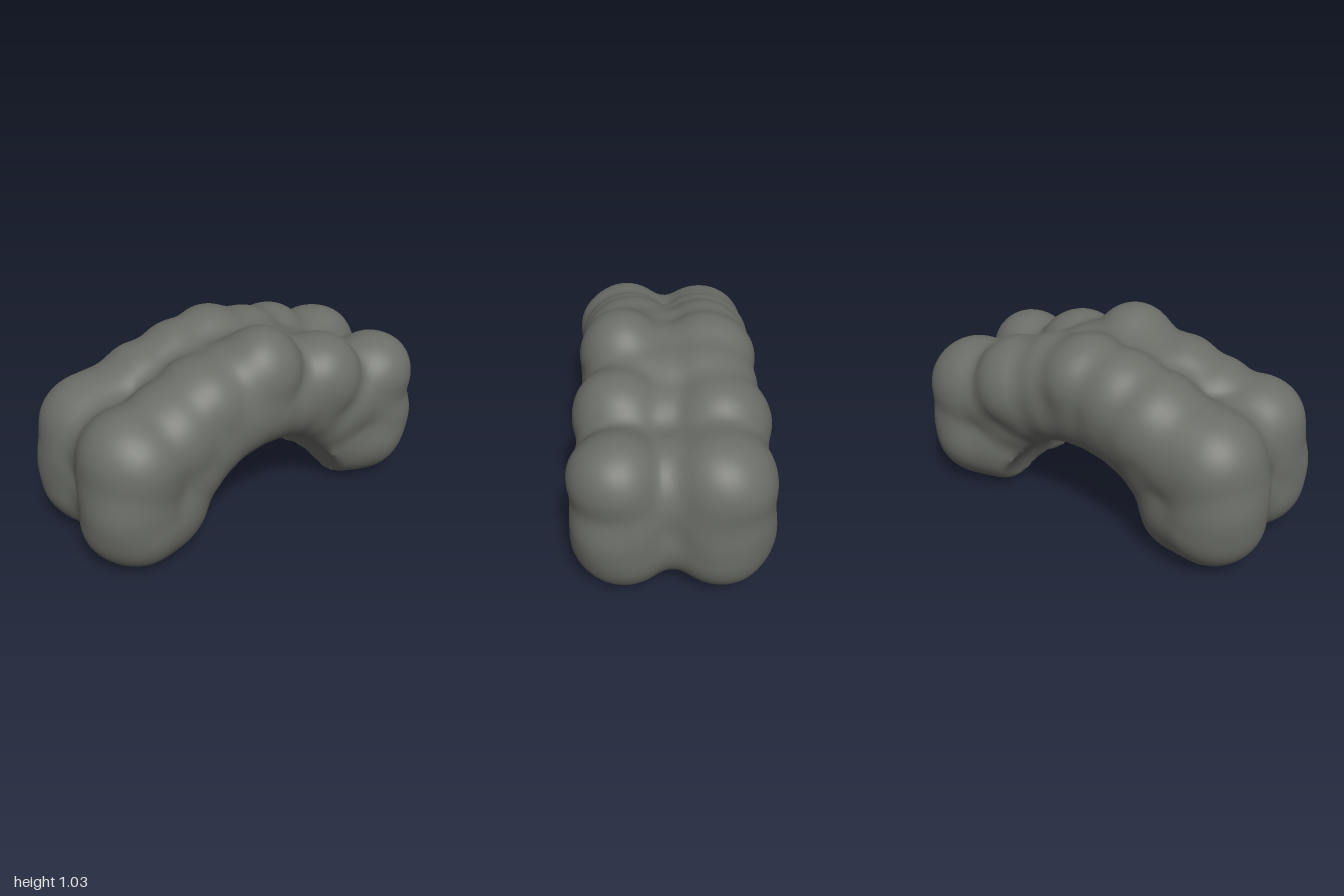
import * as THREE from 'three';
import { toCreasedNormals } from 'three/addons/utils/BufferGeometryUtils.js';

// Boulders that make up the arch: x, y, z, radius
const boulders = [
  // front row, left end to right end
  [-0.73, 0.275, 0.21, 0.27], [-0.73, 0.43, 0.2, 0.27], [-0.72, 0.56, 0.21, 0.265],
  [-0.5, 0.61, 0.19, 0.265], [-0.3, 0.69, 0.17, 0.26], [-0.12, 0.71, 0.16, 0.265],
  [0, 0.81, 0.22, 0.225], [0.15, 0.67, 0.15, 0.26], [0.37, 0.67, 0.23, 0.245],
  [0.56, 0.51, 0.2, 0.27], [0.75, 0.6, 0.25, 0.23], [0.72, 0.43, 0.22, 0.26],
  [0.72, 0.275, 0.22, 0.27],
  // back row
  [-0.73, 0.275, -0.21, 0.27], [-0.73, 0.42, -0.2, 0.27], [-0.71, 0.55, -0.22, 0.265],
  [-0.57, 0.57, -0.21, 0.265], [-0.4, 0.65, -0.21, 0.26], [-0.2, 0.72, -0.2, 0.255],
  [0, 0.745, -0.19, 0.26], [0.03, 0.78, -0.25, 0.19], [0.2, 0.7, -0.19, 0.26],
  [0.41, 0.65, -0.23, 0.26], [0.57, 0.55, -0.2, 0.265], [0.73, 0.55, -0.22, 0.27],
  [0.74, 0.42, -0.2, 0.26], [0.73, 0.275, -0.22, 0.27],
];
// Core between the rows, which keeps the groove shallow
for (const x of [-1, 1]) {
  boulders.push([0.69 * x, 0.31, 0, 0.25], [0.68 * x, 0.51, 0, 0.25], [0.6 * x, 0.27, 0, 0.22]);
  // outer corners of the legs
  for (const z of [-0.25, 0.25]) boulders.push([0.775 * x, 0.37, z, 0.22]);
}
for (let a = 45; a <= 135; a += 15) {
  const t = THREE.MathUtils.degToRad(a);
  boulders.push([0.69 * Math.cos(t), 0.69 * Math.sin(t), 0, 0.26]);
}
// Feet and the inner shoulders along the tunnel
for (const z of [-0.2, 0.2]) {
  for (const x of [-0.6, 0.6]) boulders.push([x, 0.25, z, 0.24]);
  for (let a = 30; a <= 150; a += 15) {
    const t = THREE.MathUtils.degToRad(a);
    boulders.push([0.66 * Math.cos(t), 0.65 * Math.sin(t), z, 0.235]);
  }
}

// Distance to the blended boulders, with the round tunnel cut away
function rockDistance(x, y, z) {
  let d = 1e3;
  const k = 0.04;
  for (const [bx, by, bz, r] of boulders) {
    const s = Math.hypot(x - bx, y - by, z - bz) - r;
    const h = Math.max(k - Math.abs(d - s), 0) / k;
    d = Math.min(d, s) - h * h * k * 0.25;
  }
  d += 0.003 + 0.006 * Math.sin(9 * x + 4 * z) * Math.sin(11 * y - 7 * z + 1);
  const tunnel = 0.51 + 0.007 * Math.sin(13 * x + 9 * z) * Math.cos(8 * z) - Math.hypot(x, y + 0.07);
  return Math.max(d, tunnel);
}

// Skin the rock by casting rays outward from a curved spine
function rockGeometry() {
  const fan = 24, sweep = 110, around = 100;
  const rows = fan * 2 + sweep;
  const start = 0.3, end = Math.PI - start;
  const pos = [], index = [];
  const p = new THREE.Vector3(), dir = new THREE.Vector3(), spine = new THREE.Vector3();
  const inside = (t) => {
    p.copy(spine).addScaledVector(dir, t);
    return rockDistance(p.x, p.y, p.z) < 0;
  };
  for (let i = 0; i <= rows; i++) {
    const theta = start + (end - start) * THREE.MathUtils.clamp((i - fan) / sweep, 0, 1);
    // rays fan out into a rounded cap at each foot
    const over = i < fan ? i - fan : Math.max(0, i - fan - sweep);
    const tilt = (over / fan) * Math.PI / 2;
    const c = Math.cos(theta), s = Math.sin(theta);
    spine.set(0.73 * c, 0.71 * s, 0);
    for (let j = 0; j < around; j++) {
      const phi = (j / around) * Math.PI * 2;
      const n = Math.cos(phi) * Math.cos(tilt), t = Math.sin(tilt);
      dir.set(c * n - s * t, s * n + c * t, Math.sin(phi) * Math.cos(tilt));
      let hi = 0.62;
      while (hi > 0.02 && !inside(hi)) hi -= 0.02;
      let lo = hi;
      hi += 0.02;
      for (let q = 0; q < 8; q++) {
        const mid = (lo + hi) / 2;
        if (inside(mid)) lo = mid; else hi = mid;
      }
      p.copy(spine).addScaledVector(dir, lo);
      pos.push(p.x, p.y, p.z);
      if (i < rows) {
        const a = i * around + j, b = i * around + (j + 1) % around;
        if (i < rows - 1) index.push(a, a + around, b + around);
        else index.push(a, a + around, b);
        if (i > 0 && i < rows - 1) index.push(a, b + around, b);
      }
    }
  }
  const geo = new THREE.BufferGeometry();
  geo.setAttribute('position', new THREE.Float32BufferAttribute(pos, 3));
  geo.setIndex(index);
  // centre it and stand it on the ground
  geo.computeBoundingBox();
  const mid = geo.boundingBox.getCenter(new THREE.Vector3());
  geo.translate(-mid.x, -geo.boundingBox.min.y, -mid.z);
  return toCreasedNormals(geo, 0.7);
}

export function createModel() {
  const group = new THREE.Group();
  group.name = 'rockArch';
  const stone = new THREE.MeshStandardMaterial({ color: 0x6b6d67 });
  stone.name = 'greyStone';
  const rock = new THREE.Mesh(rockGeometry(), stone);
  rock.name = 'archRock';
  group.add(rock);
  return group;
}
